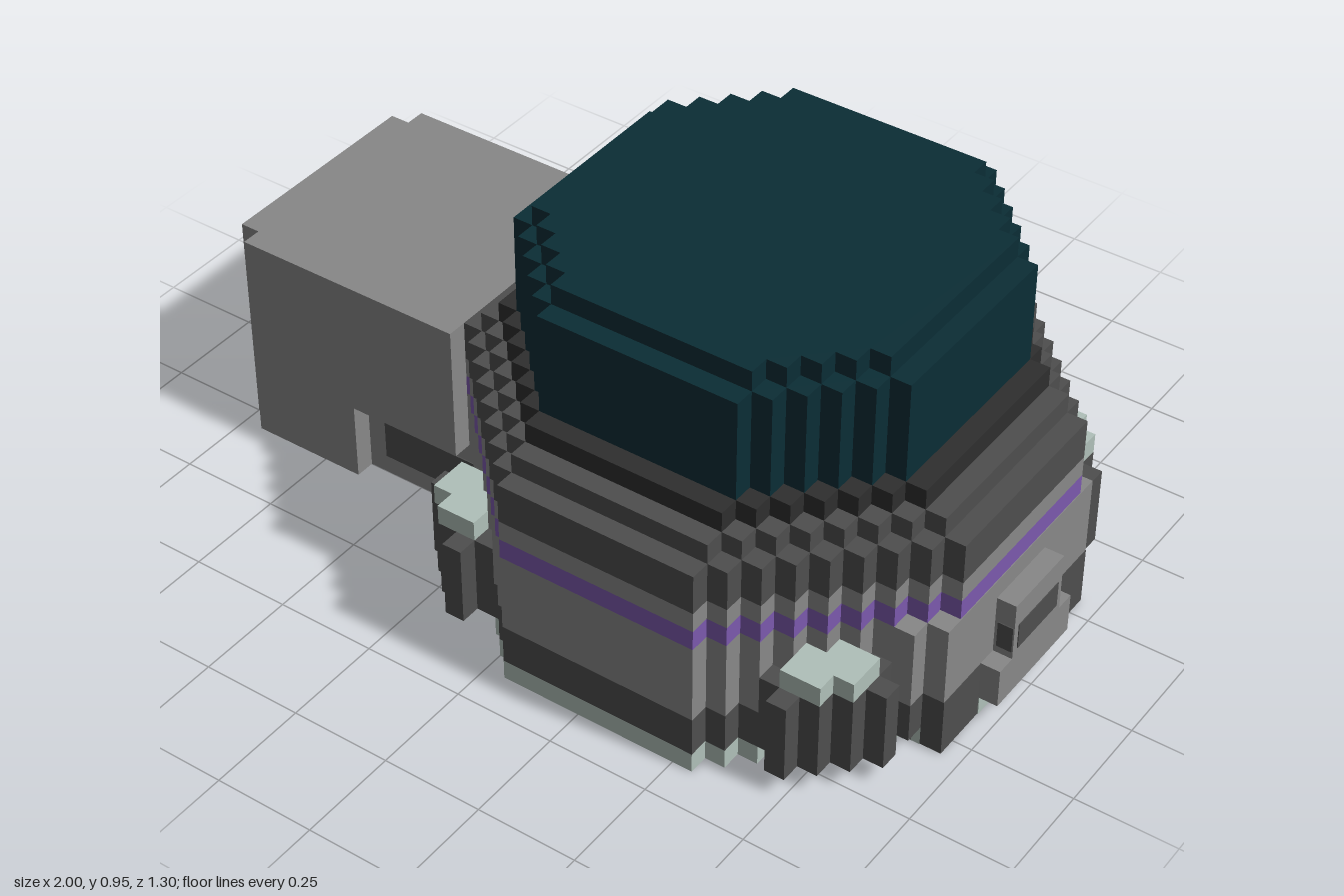
import * as THREE from 'three';

const U = 0.05;      // grid step
const CX = 0.3;      // centre of the octagonal drum

const mat = (name, color) => {
  const m = new THREE.MeshStandardMaterial({ color });
  m.name = name;
  return m;
};

// Stepped octagon, r cells from centre to each flat side
function octagon(r) {
  const quarter = [[r, -5], [r, 5]];
  for (let i = 5; i < r; i++) quarter.push([r + 4 - i, i], [r + 4 - i, i + 1]);
  quarter.pop();
  const points = [];
  for (let q = 0; q < 4; q++) {
    for (const [x, y] of quarter) {
      const [a, b] = [[x, y], [-y, x], [-x, -y], [y, -x]][q];
      const last = points[points.length - 1];
      if (!last || last.x !== a * U || last.y !== b * U) points.push(new THREE.Vector2(a * U, b * U));
    }
  }
  return points;
}

export function createModel() {
  const model = new THREE.Group();
  model.name = 'building';
  const gray = mat('wallGray', 0x888888);
  const dark = mat('darkGray', 0x4e4e4e);
  const black = mat('charcoal', 0x2e2e2e);
  const teal = mat('deepTeal', 0x0b2d35);
  const purple = mat('purple', 0x7b59ad);
  const pale = mat('paleGreen', 0xb0c0b9);

  function layer(name, material, r, y0, y1, hole = 0) {
    const shape = new THREE.Shape(octagon(r));
    if (hole) shape.holes.push(new THREE.Path(octagon(hole).reverse()));
    const geo = new THREE.ExtrudeGeometry(shape, { depth: y1 - y0, bevelEnabled: false });
    geo.rotateX(-Math.PI / 2).translate(CX, y0, 0);
    const mesh = new THREE.Mesh(geo, material);
    mesh.name = name;
    model.add(mesh);
  }

  function box(name, material, x0, x1, y0, y1, z0, z1) {
    const mesh = new THREE.Mesh(new THREE.BoxGeometry(x1 - x0, y1 - y0, z1 - z0), material);
    mesh.position.set((x0 + x1) / 2, (y0 + y1) / 2, (z0 + z1) / 2);
    mesh.name = name;
    model.add(mesh);
  }

  // Drum, from the floor to the roof
  layer('footRing', pale, 13, 0, 0.05, 11);
  layer('floor', dark, 11, 0, 0.05);
  layer('lowerBand', dark, 13, 0.05, 0.15);
  layer('wall', gray, 13, 0.15, 0.35);
  layer('stripe', purple, 13, 0.35, 0.4);
  layer('upperWall', gray, 13, 0.4, 0.45);
  layer('cornice', dark, 13, 0.45, 0.55);
  layer('corniceStep', dark, 12, 0.55, 0.6);
  layer('domeCollar', black, 11, 0.6, 0.65);
  layer('dome', teal, 10, 0.65, 0.9);
  layer('domeTop', teal, 9, 0.9, 0.95);

  // Stepped buttresses with pale caps on the four diagonals
  for (const sx of [-1, 1]) for (const sz of [-1, 1]) {
    for (let a = 7; a < 12; a++) for (let b = 7; b < 12; b++) {
      if (a + b < 17 || a + b > 19 || Math.abs(a - b) > 3) continue;
      const x = CX + sx * (a + 0.5) * U, z = sz * (b + 0.5) * U, h = U / 2;
      box('buttress', dark, x - h, x + h, 0.05, 0.25, z - h, z + h);
      if (a > 7 && a < 11 && b > 7 && b < 11)
        box('buttressCap', pale, x - h, x + h, 0.25, 0.3, z - h, z + h);
    }
  }

  // Thickened wall and plinths beside the entrance
  box('entranceWall', gray, 0.8, 0.952, 0.15, 0.35, -0.3, 0.3);
  box('entranceWallWide', gray, 0.8, 0.9, 0.15, 0.35, -0.35, 0.35);
  for (const s of [-1, 1]) {
    const span = (a, b) => [Math.min(s * a, s * b), Math.max(s * a, s * b)];
    box('plinth', dark, 0.85, 0.953, 0.002, 0.15, ...span(0.15, 0.3));
    box('plinthSide', dark, 0.8, 0.9, 0.05, 0.15, ...span(0.3, 0.35));
    box('doorFoot', pale, 0.9, 0.955, 0.002, 0.05, ...span(0.1, 0.15));
  }

  // Entrance
  box('doorStep', dark, 0.9, 0.97, 0.002, 0.05, -0.1, 0.1);
  box('doorBlock', gray, 0.9, 1, 0.05, 0.15, -0.15, 0.15);
  box('doorHead', gray, 0.9, 1, 0.15, 0.3, -0.1, 0.1);
  box('doorWindow', dark, 0.95, 1.002, 0.17, 0.237, -0.083, 0.083);
  box('doorSideWindow', dark, 0.96, 0.998, 0.17, 0.237, -0.103, 0.103);

  // Annex with a recess low on its front
  box('annex', gray, -0.95, -0.35, 0, 0.55, -0.35, 0.25);
  box('annexFront', gray, -0.95, -0.65, 0, 0.55, 0.25, 0.3);
  box('annexFrontUpper', gray, -0.65, -0.35, 0.2, 0.55, 0.25, 0.3);
  box('annexEnd', gray, -1, -0.95, 0, 0.55, -0.3, 0.25);
  box('annexJoint', gray, -0.35, -0.3, 0, 0.55, -0.35, -0.25);
  box('recessSlot', dark, -0.6, -0.3, 0.05, 0.15, 0.245, 0.253);
  box('recessFoot', dark, -0.4, -0.3, 0.002, 0.05, 0.245, 0.29);

  // Small detached block behind the annex
  box('looseBlock', gray, -1, -0.95, 0, 0.05, -0.65, -0.6);

  return model;
}
